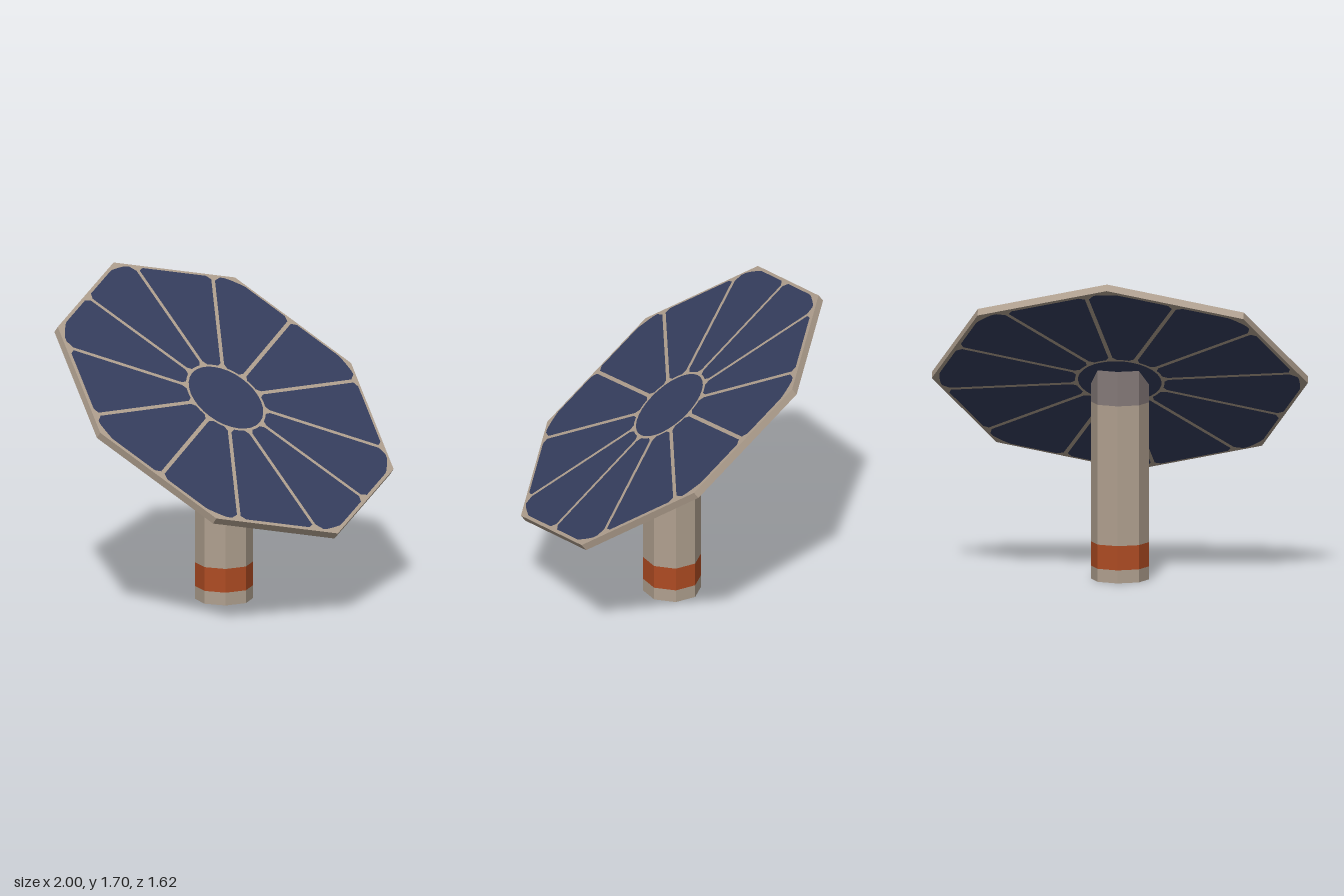
import * as THREE from 'three';

const TILT = THREE.MathUtils.degToRad(37.3);
const THICK = 0.04;

function mat(name, color) {
  const m = new THREE.MeshStandardMaterial({ color, flatShading: true });
  m.name = name;
  return m;
}

export function createModel() {
  const beige = mat('beige metal', 0xb0a08f);
  const blue = mat('navy panel', 0x353e5e);
  const orange = mat('orange band', 0xae4b22);
  const grey = mat('grey cap', 0x857a79);
  const model = new THREE.Group();
  model.name = 'solarDish';

  function add(parent, name, geometry, material) {
    const mesh = new THREE.Mesh(geometry, material);
    mesh.name = name;
    parent.add(mesh);
    return mesh;
  }

  // Eight-sided post in stacked sections
  function section(name, y0, y1, r0, r1, material, open = true) {
    const g = new THREE.CylinderGeometry(r1, r0, y1 - y0, 8, 1, open);
    g.translate(0, (y0 + y1) / 2, 0);
    return add(model, name, g, material);
  }
  section('postFoot', 0, 0.07, 0.155, 0.155, beige, false);
  section('postBand', 0.07, 0.2, 0.155, 0.155, orange);
  section('postShaft', 0.2, 0.95, 0.155, 0.155, beige);

  // Cap whose top slopes up to the back under the dish
  const cap = section('postCap', 0.95, 1.05, 0.155, 0.155, grey, false);
  const p = cap.geometry.attributes.position;
  for (let i = 0; i < p.count; i++) {
    if (p.getY(i) > 1) {
      const z = THREE.MathUtils.clamp(p.getZ(i), -0.11, 0.11);
      p.setY(i, 1.045 - z * 0.82);
    }
  }

  // Tilted octagonal dish
  const dish = new THREE.Group();
  dish.name = 'dish';
  dish.position.y = 1.082;
  dish.rotation.x = TILT;
  model.add(dish);
  add(dish, 'dishPlate', new THREE.CylinderGeometry(1, 1, THICK, 8), beige);

  // Radius of the inset octagon at an angle, with blunted corners
  const rim = (a) => {
    const q = Math.PI / 4;
    const local = (((a % q) + q) % q) - q / 2;
    return Math.min(0.906 / Math.cos(local), 0.958);
  };
  const polar = (r, a) => new THREE.Vector2(Math.sin(a) * r, Math.cos(a) * r);

  // One wedge panel outline between two spokes
  const GAP = 0.011, INNER = 0.237, CUT = 0.025;
  function wedge(a0, a1) {
    const pts = [];
    const at = (r, side) => polar(r, side < 0 ? a0 + Math.asin(GAP / r) : a1 - Math.asin(GAP / r));
    const arc = (radius, from, to, n) => {
      for (let i = 0; i <= n; i++) {
        const a = from + (to - from) * i / n;
        pts.push(polar(radius(a), a));
      }
    };
    pts.push(at(INNER + CUT, -1), at(rim(a0) - CUT, -1));
    arc(rim, a0 + 0.045, a1 - 0.045, 16);
    pts.push(at(rim(a1) - CUT, 1), at(INNER + CUT, 1));
    arc(() => INNER, a1 - 0.12, a0 + 0.12, 6);
    return pts;
  }

  // Panel faces on both sides of the dish
  const outlines = [];
  const step = Math.PI / 6, start = THREE.MathUtils.degToRad(7);
  for (let k = 0; k < 12; k++) outlines.push(wedge(start + k * step, start + (k + 1) * step));
  const hub = [];
  for (let i = 0; i < 32; i++) hub.push(polar(0.222, i * Math.PI / 16));
  outlines.push(hub);

  for (const s of [1, -1]) {
    const shapes = outlines.map(o => new THREE.Shape(o.map(v => new THREE.Vector2(v.x, s * v.y))));
    const g = new THREE.ShapeGeometry(shapes);
    g.rotateX(-s * Math.PI / 2);
    g.translate(0, s * (THICK / 2 + 0.003), 0);
    add(dish, s > 0 ? 'topPanels' : 'bottomPanels', g, blue);
  }

  return model;
}
